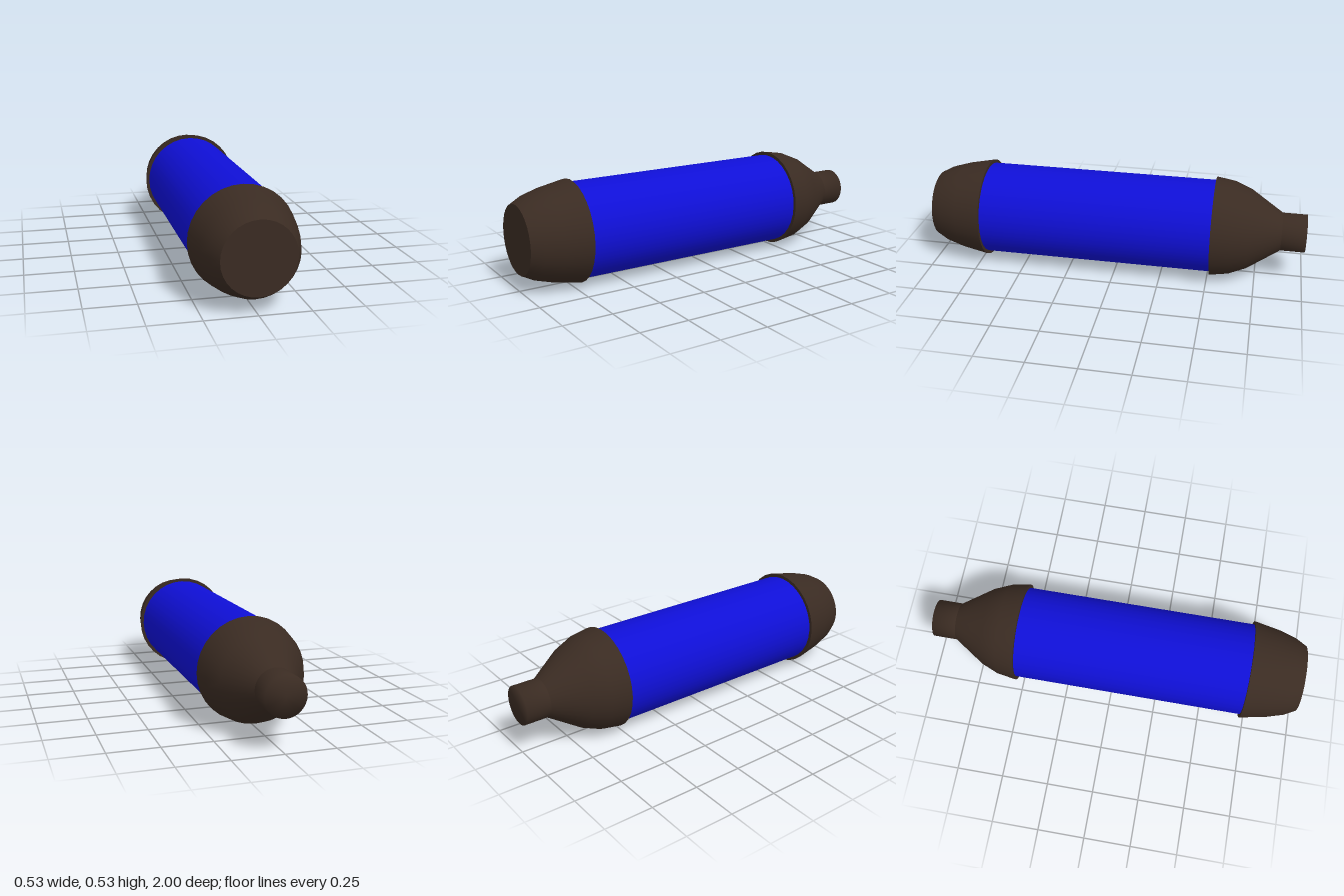
import * as THREE from 'three';
import { mergeGeometries } from 'three/addons/utils/BufferGeometryUtils.js';

const RADIUS = 0.263; // widest radius, also the height of the axis

// Revolve profiles of [z, radius] about the z axis; each profile is smooth,
// and separate profiles meet in a sharp edge.
function turned(name, material, ...profiles) {
  const parts = profiles.map((profile) =>
    new THREE.LatheGeometry(profile.map(([z, r]) => new THREE.Vector2(r, z)), 32));
  const geometry = mergeGeometries(parts);
  geometry.rotateX(Math.PI / 2);
  const mesh = new THREE.Mesh(geometry, material);
  mesh.name = name;
  mesh.position.y = RADIUS;
  return mesh;
}

export function createModel() {
  const group = new THREE.Group();
  group.name = 'canister';
  const blue = new THREE.MeshStandardMaterial({ color: 0x0f0fd6 });
  const brown = new THREE.MeshStandardMaterial({ color: 0x3a2b22 });

  // Long plain cylinder between the two caps
  group.add(turned('body', blue, [[-0.53, 0.245], [0.72, 0.245]]));

  // Front cap: step at the body, gently tapering wall, flat end
  group.add(turned('frontCap', brown,
    [[0.71, 0], [0.71, RADIUS]],
    [[0.71, RADIUS], [0.85, 0.236], [0.94, 0.209], [1, 0.177]],
    [[1, 0.177], [1, 0]]));

  // Rear cap: shoulder narrowing to the neck, step at the body
  group.add(turned('rearCap', brown,
    [[-0.873, 0.1], [-0.705, 0.21], [-0.615, 0.247], [-0.515, RADIUS]],
    [[-0.515, RADIUS], [-0.515, 0]]));

  // Short nozzle with a softly shaded end
  group.add(turned('nozzle', brown, [[-1, 0], [-1, 0.1], [-0.873, 0.1]]));

  return group;
}
